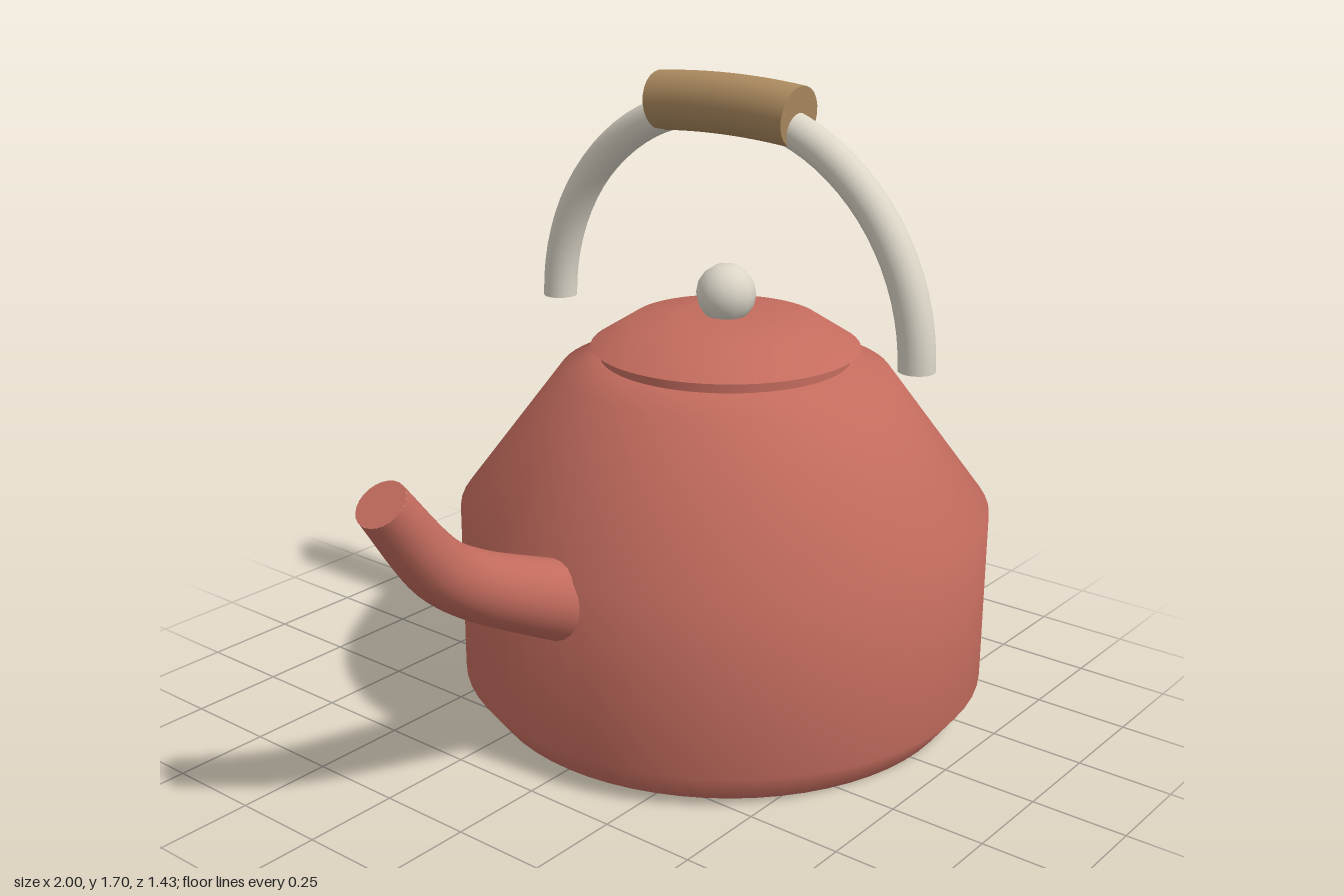
import * as THREE from 'three';
import { mergeGeometries } from 'three/addons/utils/BufferGeometryUtils.js';

const v = (x, y, z) => new THREE.Vector3(x, y, z);
const paint = (name, color) => {
  const m = new THREE.MeshStandardMaterial({ color });
  m.name = name;
  return m;
};

// Tube along a curve whose radius runs from r0 to r1, closed by flat discs
function cappedTube(curve, r0, r1, steps, sides) {
  const tube = new THREE.TubeGeometry(curve, steps, 1, sides);
  const pos = tube.attributes.position;
  const p = v(0, 0, 0);
  for (let i = 0; i < pos.count; i++) {
    const t = Math.floor(i / (sides + 1)) / steps;
    const centre = curve.getPointAt(t);
    p.fromBufferAttribute(pos, i).sub(centre).multiplyScalar(r0 + (r1 - r0) * t).add(centre);
    pos.setXYZ(i, p.x, p.y, p.z);
  }
  const cap = (t, r, sign) => {
    const turn = new THREE.Quaternion().setFromUnitVectors(
      v(0, 0, 1), curve.getTangentAt(t).multiplyScalar(sign).normalize());
    const at = curve.getPointAt(t);
    return new THREE.CircleGeometry(r, sides).applyQuaternion(turn).translate(at.x, at.y, at.z);
  };
  return mergeGeometries([tube, cap(0, r0, -1), cap(1, r1, 1)]);
}

const lathe = (points) =>
  new THREE.LatheGeometry(points.map(([r, y]) => new THREE.Vector2(r, y)), 64);

export function createModel() {
  const red = paint('red enamel', 0xc46c5e);
  const cream = paint('cream', 0xdcd6c8);
  const wood = paint('wood', 0xac8a5f);

  const model = new THREE.Group();
  model.name = 'kettle';
  const add = (name, geometry, material) => {
    const mesh = new THREE.Mesh(geometry, material);
    mesh.name = name;
    model.add(mesh);
    return mesh;
  };
  const axis = 0.285; // x of the pot's centre line

  // Pot
  add('body', lathe([[0.645, 0], [0.713, 0.09], [0.713, 0.56], [0.44, 0.925], [0.333, 0.96]]), red)
    .position.x = axis;
  add('base', new THREE.CircleGeometry(0.645, 64).rotateX(Math.PI / 2), red).position.x = axis;

  // Lid: neck, underside of the rim, sloping top
  add('lidNeck', lathe([[0.333, 0.95], [0.333, 0.992]]), red).position.x = axis;
  add('lidRim', lathe([[0.333, 0.991], [0.358, 0.991]]), red).position.x = axis;
  add('lidTop', lathe([[0.358, 0.991], [0.25, 1.06], [0.12, 1.071], [0, 1.075]]), red).position.x = axis;
  add('knob', new THREE.SphereGeometry(0.08, 12, 8), cream).position.set(axis, 1.13, 0);

  // Spout, starting inside the pot
  const spoutPath = new THREE.CatmullRomCurve3([
    v(-0.32, 0.455, 0), v(-0.42, 0.5, 0), v(-0.685, 0.63, 0), v(-0.79, 0.705, 0), v(-0.95, 0.907, 0),
  ]);
  add('spout', cappedTube(spoutPath, 0.106, 0.0635, 24, 24), red);

  // Half-ring handle over the lid
  class Arch extends THREE.Curve {
    getPoint(t, target = new THREE.Vector3()) {
      const a = Math.PI * t;
      return target.set(axis, 1.03 + 0.588 * Math.sin(a), 0.588 * Math.cos(a));
    }
  }
  add('handle', cappedTube(new Arch(), 0.047, 0.047, 40, 20), cream);

  // Gently bowed grip
  const gripPath = new THREE.QuadraticBezierCurve3(
    v(axis, 1.615, 0.219), v(axis, 1.637, 0), v(axis, 1.615, -0.219));
  add('grip', cappedTube(gripPath, 0.078, 0.078, 12, 24), wood);

  return model;
}
